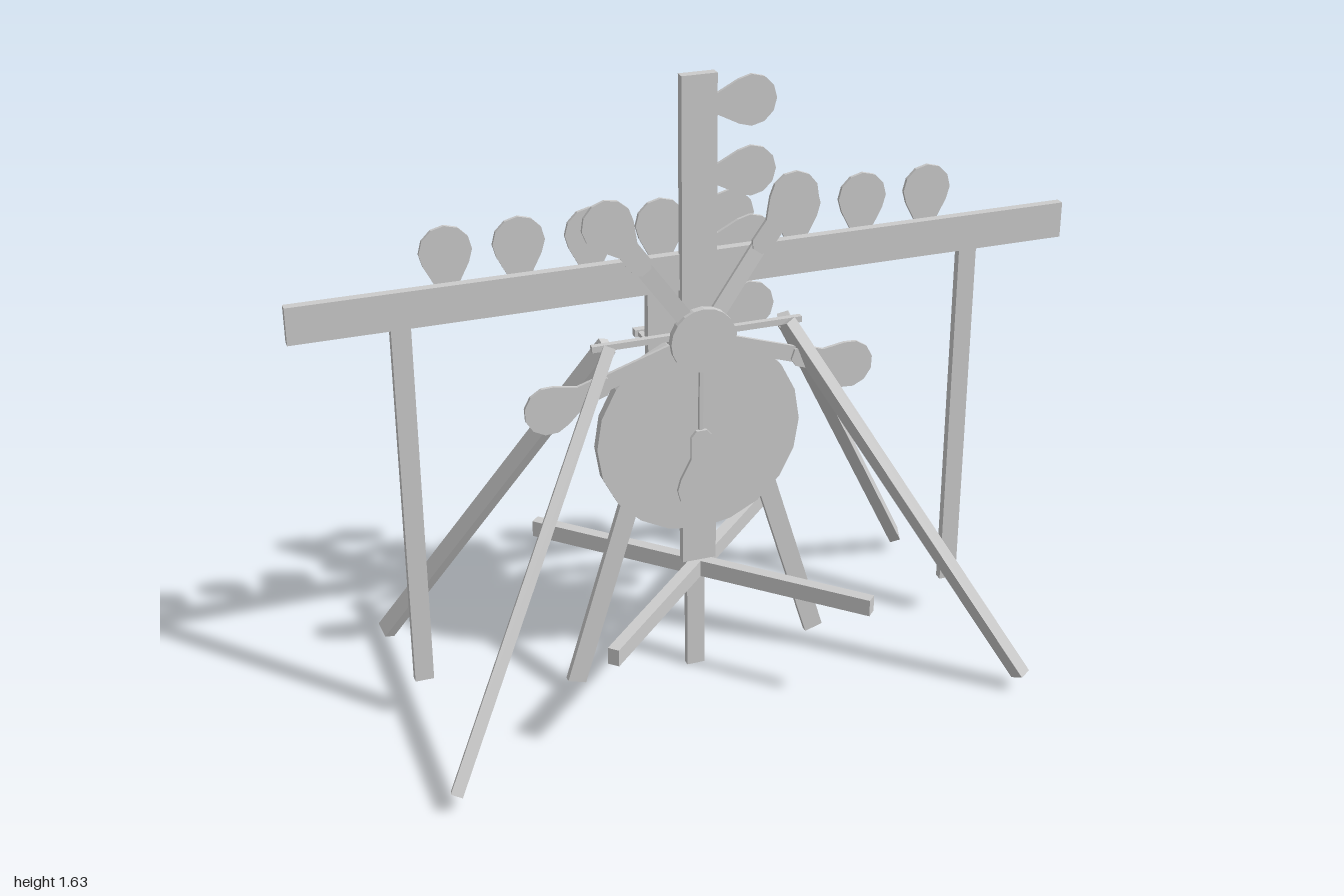
import * as THREE from 'three';

const material = new THREE.MeshStandardMaterial({ color: 0xcccccc, flatShading: true });

export function createModel() {
  const model = new THREE.Group();

  const add = (name, geometry, x = 0, y = 0, z = 0) => {
    const mesh = new THREE.Mesh(geometry, material);
    mesh.name = name;
    mesh.position.set(x, y, z);
    model.add(mesh);
    return mesh;
  };
  const box = (name, w, h, d, x, y, z) => add(name, new THREE.BoxGeometry(w, h, d), x, y, z);

  // Square bar between two points
  const bar = (name, a, b, w, d) => {
    const from = new THREE.Vector3(...a), to = new THREE.Vector3(...b);
    const mesh = box(name, w, from.distanceTo(to), d, 0, 0, 0);
    mesh.position.copy(from).add(to).multiplyScalar(0.5);
    mesh.quaternion.setFromUnitVectors(new THREE.Vector3(0, 1, 0), to.sub(from).normalize());
    return mesh;
  };

  // Flat disc facing the front
  const disc = (name, r, depth, y, z, sides) =>
    add(name, new THREE.CylinderGeometry(r, r, depth, sides).rotateX(Math.PI / 2), 0, y, z);

  // Flat paddle: round head at the origin, stem with a rounded end pointing down
  const outline = new THREE.Shape();
  outline.moveTo(-0.028, -0.085);
  for (let i = 0; i <= 8; i++) {
    const t = Math.PI * (1.17 - i * 1.34 / 8);
    outline.lineTo(0.064 * Math.cos(t), 0.064 * Math.sin(t));
  }
  outline.lineTo(0.028, -0.085);
  outline.lineTo(0.028, -0.145);
  outline.lineTo(0.014, -0.162);
  outline.lineTo(-0.014, -0.162);
  outline.lineTo(-0.028, -0.145);
  const paddleGeometry = new THREE.ExtrudeGeometry(outline, { depth: 0.009, bevelEnabled: false })
    .translate(0, 0, -0.0045);
  const paddle = (name, x, y, z, turn = 0) => {
    const mesh = add(name, paddleGeometry, x, y, z);
    mesh.rotation.z = turn;
    return mesh;
  };

  // Mast, lower post and long crossbeam
  box('mast', 0.09, 1.3, 0.025, 0, 0.985, 0);
  box('post', 0.048, 0.98, 0.02, 0, 0.49, -0.025);
  box('crossbeam', 2, 0.094, 0.023, 0, 1.138, -0.016);

  // Paddles along the crossbeam and up the mast
  for (let i = 0; i < 8; i++) paddle('beamPaddle', -0.612 + i * 0.177, 1.258, -0.042);
  for (let i = 0; i < 6; i++) paddle('mastPaddle', 0.148, 1.545 - i * 0.177, -0.032, -Math.PI / 2);

  // Round body
  disc('body', 0.27, 0.026, 0.7, 0.001, 20);

  // Splayed rear legs of the body
  bar('bodyLeg', [-0.05, 0.97, 0], [-0.338, 0.032, 0], 0.05, 0.018);
  bar('bodyLeg', [0.05, 0.97, 0], [0.33, 0.055, 0], 0.05, 0.018);

  // Diagonal floor cross
  for (const s of [-1, 1]) {
    const brace = box('crossBrace', 0.965, 0.045, 0.03, 0, 0.312, 0);
    brace.rotation.y = s * Math.PI / 4;
  }

  // Beam supports and four outward legs
  box('axle', 0.55, 0.016, 0.016, 0, 0.972, 0);
  for (const sx of [-1, 1]) {
    box('beamSupport', 0.048, 0.98, 0.022, sx * 0.735, 0.61, -0.016);
    for (const sz of [-1, 1]) {
      bar('frameLeg', [sx * 0.232, 0.972, sz * 0.008], [sx * 0.755, 0.045, sz * 0.39], 0.045, 0.03);
    }
  }

  // Rotor: hub with five spokes and paddles
  disc('hub', 0.085, 0.02, 0.97, 0.036, 20);
  const tips = [0.026, 0.034, 0.014, 0.05, 0.034];
  tips.forEach((z, i) => {
    const a = -Math.PI / 2 + i * Math.PI * 2 / 5;
    const c = Math.cos(a), s = Math.sin(a);
    const reach = 0.415;
    bar('spoke', [0, 0.97, 0.026], [c * 0.29, 0.97 + s * 0.29, z - 0.007],
      i === 0 ? 0.01 : 0.042, i === 0 ? 0.01 : 0.009);
    paddle('rotorPaddle', c * reach, 0.97 + s * reach, z, a - Math.PI / 2);
  });

  // Back plate with its handle
  box('backPlate', 0.235, 0.37, 0.026, 0, 0.935, -0.048);
  for (const sx of [-1, 1]) box('handleArm', 0.014, 0.012, 0.14, sx * 0.085, 0.905, -0.13);
  box('handleGrip', 0.2, 0.02, 0.02, 0, 0.905, -0.2);

  return model;
}
